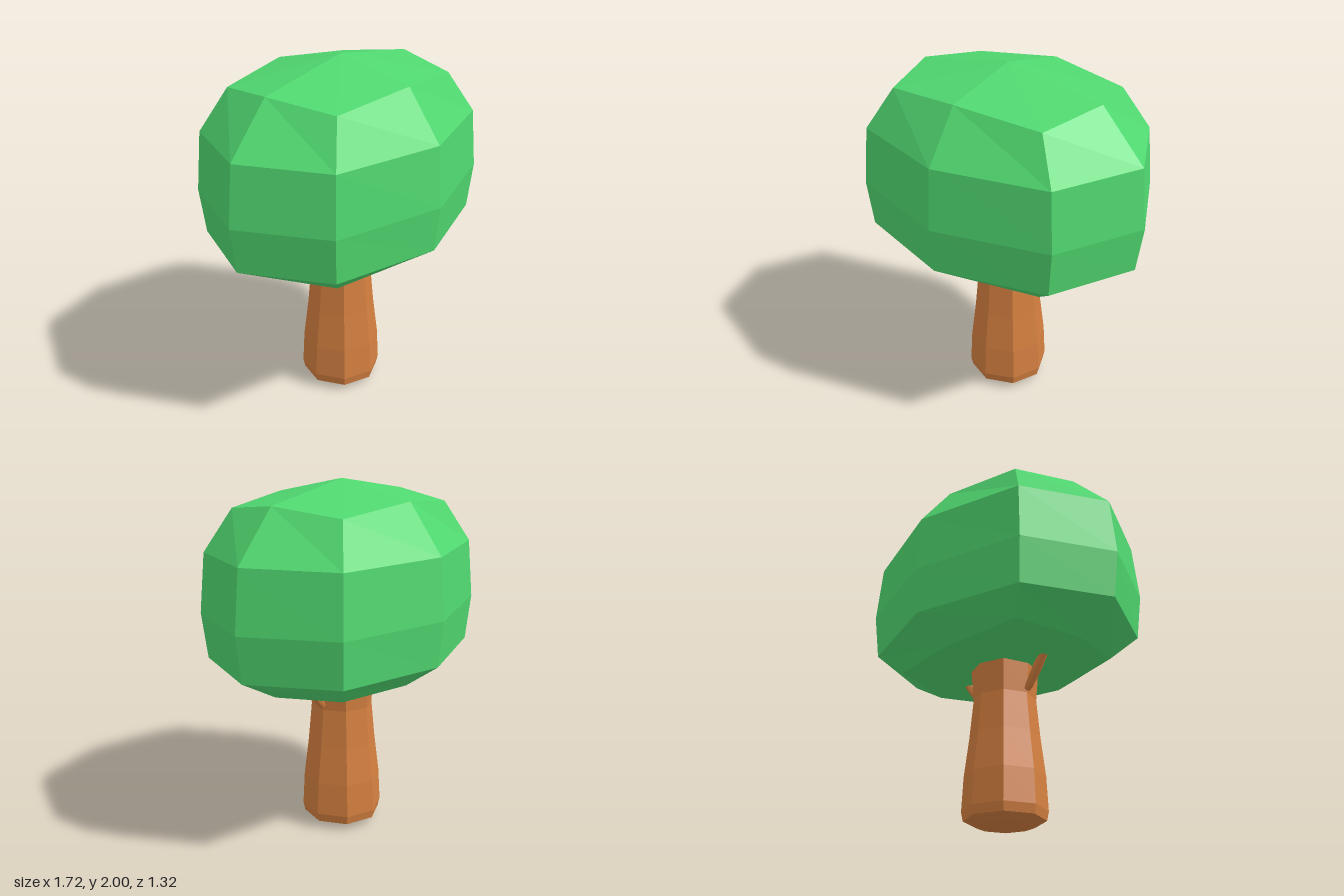
import * as THREE from 'three';

const leafGreen = new THREE.MeshStandardMaterial({ name: 'leafGreen', color: 0x50d870, flatShading: true });
const barkBrown = new THREE.MeshStandardMaterial({ name: 'barkBrown', color: 0xd58040, flatShading: true });

// Eight-sided turned part from [radius, height] pairs, bottom to top
function turned(name, profile) {
  const points = profile.map(([r, y]) => new THREE.Vector2(r, y));
  const mesh = new THREE.Mesh(new THREE.LatheGeometry(points, 8), barkBrown);
  mesh.name = name;
  return mesh;
}

// Faceted crown: rings of eight points between two poles.
// Each ring gives its side point x, front point z, corner x and z, and the heights of both kinds.
function crownGeometry() {
  const rings = [
    { x: 0.575, z: 0.44, cx: 0.475, cz: 0.365, y: 0.91, cy: 0.935 },
    { x: 0.825, z: 0.635, cx: 0.60, cz: 0.462, y: 1.05, cy: 1.05 },
    { x: 0.86, z: 0.662, cx: 0.625, cz: 0.48, y: 1.305, cy: 1.305 },
    { x: 0.825, z: 0.635, cx: 0.60, cz: 0.462, y: 1.638, cy: 1.632 },
    { x: 0.575, z: 0.44, cx: 0.475, cz: 0.365, y: 1.905, cy: 1.86 },
  ];
  const positions = [0, 0.88, 0];
  const index = [];
  for (const r of rings) {
    for (let i = 0; i < 8; i++) {
      const a = (i * Math.PI) / 4;
      const sx = Math.round(Math.cos(a)), sz = Math.round(Math.sin(a));
      if (i % 2) positions.push(sx * r.cx, r.cy, sz * r.cz);
      else positions.push(sx * r.x, r.y, sz * r.z);
    }
  }
  positions.push(0, 2, 0);
  const top = positions.length / 3 - 1;
  for (let i = 0; i < 8; i++) {
    const j = (i + 1) % 8;
    index.push(0, 1 + i, 1 + j);
    for (let k = 0; k < rings.length - 1; k++) {
      const a = 1 + k * 8 + i, b = 1 + k * 8 + j;
      index.push(a, a + 8, b + 8, a, b + 8, b);
    }
    index.push(top, top - 8 + j, top - 8 + i);
  }
  const geometry = new THREE.BufferGeometry();
  geometry.setAttribute('position', new THREE.Float32BufferAttribute(positions, 3));
  geometry.setIndex(index);
  const flat = geometry.toNonIndexed();
  flat.computeVertexNormals();
  return flat;
}

// Short tapered branch running from the trunk up into the crown
function branch(name, from, to) {
  const direction = to.clone().sub(from);
  const l = direction.length();
  const mesh = turned(name, [[0, 0], [0.017, 0.006], [0.023, 0.04], [0.027, l * 0.5], [0.023, l * 0.85], [0, l]]);
  mesh.position.copy(from);
  mesh.quaternion.setFromUnitVectors(new THREE.Vector3(0, 1, 0), direction.normalize());
  return mesh;
}

export function createModel() {
  const tree = new THREE.Group();
  tree.name = 'tree';

  const crown = new THREE.Mesh(crownGeometry(), leafGreen);
  crown.name = 'crown';
  tree.add(crown);

  tree.add(turned('trunk', [
    [0, 0], [0.155, 0.013], [0.222, 0.04], [0.232, 0.09], [0.222, 0.28],
    [0.195, 0.5], [0.175, 0.72], [0.19, 0.9], [0.17, 0.96], [0, 0.98],
  ]));

  tree.add(branch('leftBranch', new THREE.Vector3(0.175, 0.74, 0), new THREE.Vector3(0.345, 0.95, 0)));
  tree.add(branch('rightBranch', new THREE.Vector3(-0.175, 0.73, 0), new THREE.Vector3(-0.34, 0.95, 0)));
  return tree;
}
